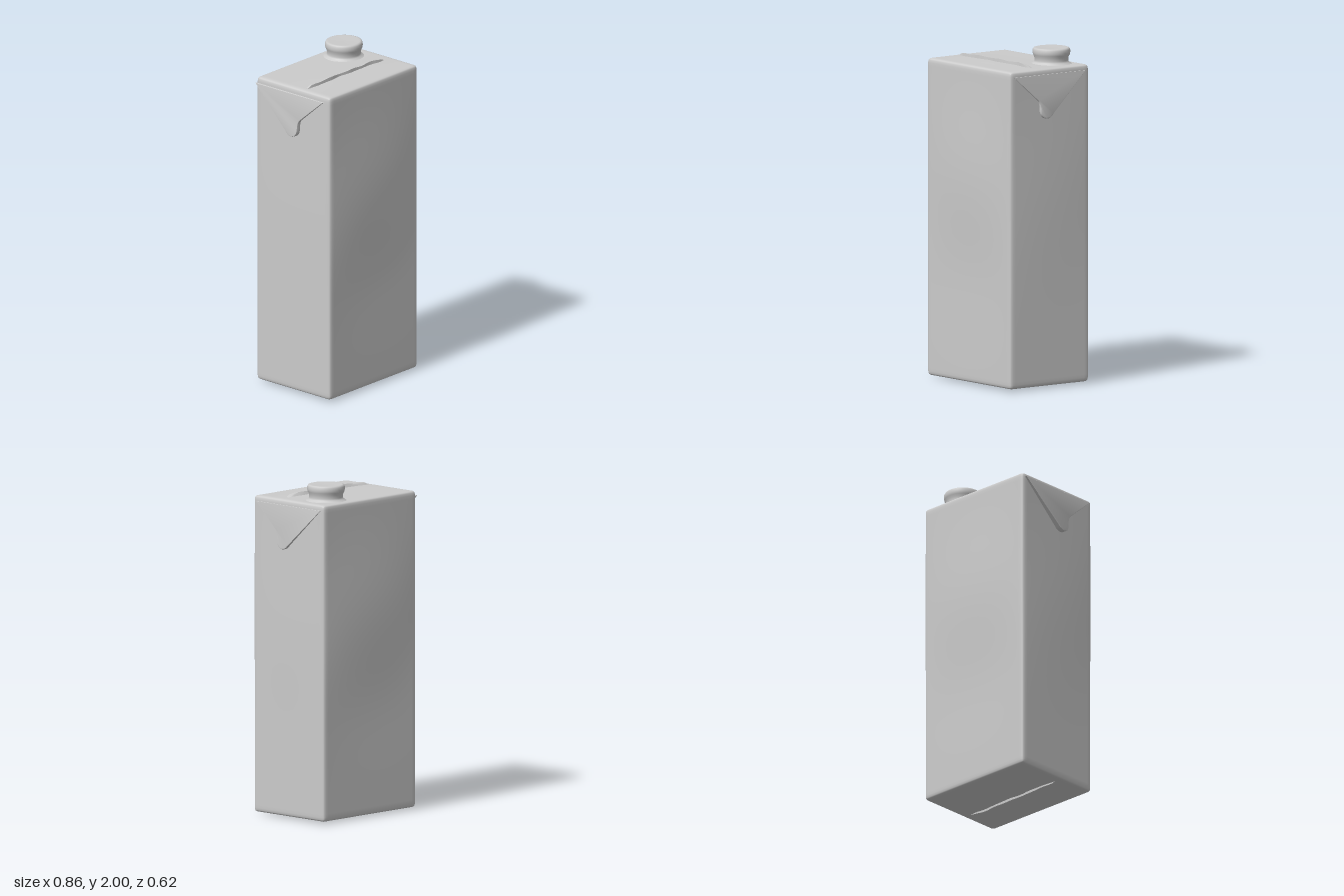
import * as THREE from 'three';
import { mergeVertices, toCreasedNormals } from 'three/addons/utils/BufferGeometryUtils.js';

const material = new THREE.MeshStandardMaterial({ color: 0xcccccc });
const HALF = new THREE.Vector3(0.397, 0.947, 0.293);
const CENTRE = new THREE.Vector3(0.012, 0.957, 0);

function part(name, geometry, parent) {
  const mesh = new THREE.Mesh(geometry, material);
  mesh.name = name;
  parent.add(mesh);
  return mesh;
}

const bump = (v, centre, width) => Math.exp(-(((v - centre) / width) ** 2));

// Rounded carton whose walls bulge above the middle and pinch slightly below it
function cartonGeometry() {
  const radius = 0.022;
  let geo = new THREE.BoxGeometry(2, 2, 2, 28, 40, 24);
  geo.deleteAttribute('normal');
  geo.deleteAttribute('uv');
  geo = mergeVertices(geo);
  const pos = geo.attributes.position;
  const p = new THREE.Vector3();
  const inner = HALF.clone().subScalar(radius);
  for (let i = 0; i < pos.count; i++) {
    p.fromBufferAttribute(pos, i);
    // crowd the grid towards the edges, then round them
    for (const a of ['x', 'y', 'z']) p[a] = Math.sin(p[a] * Math.PI / 2) * HALF[a];
    const core = p.clone().clamp(inner.clone().negate(), inner);
    const out = p.clone().sub(core);
    if (out.lengthSq() > 0) p.copy(core).add(out.setLength(radius));
    const u = p.x / HALF.x, v = p.y / HALF.y, w = p.z / HALF.z;
    const y = p.y + CENTRE.y;
    const swell = 0.017 * bump(y, 1.25, 0.4) - 0.005 * bump(y, 0.65, 0.3);
    p.z += w * swell * (1 - u * u) - 0.008 * u;
    p.x += u * (0.008 * bump(y, 1.15, 0.5)) * (1 - w * w);
    // soft panels: the top rises gently to the seam, the base sinks in a little
    const flat = (1 - u * u) * (1 - w * w);
    if (v > 0) p.y += 0.006 * flat * v ** 6 * bump(p.z, 0.08, 0.15);
    else p.y += 0.004 * flat * v ** 6;
    pos.setXYZ(i, p.x + CENTRE.x, p.y + CENTRE.y, p.z + CENTRE.z);
  }
  geo.computeVertexNormals();
  return geo;
}

// Low fin running across the carton, tapering at both ends
function seamGeometry(length, width, height) {
  const geo = new THREE.BoxGeometry(1, 1, 1, 24, 3, 4);
  const pos = geo.attributes.position;
  for (let i = 0; i < pos.count; i++) {
    const x = pos.getX(i), t = pos.getY(i) + 0.5;
    const end = Math.sqrt(Math.max(0, 1 - (2 * x) ** 6));
    const wave = 0.003 * Math.sin(x * 17) + 0.002 * Math.sin(x * 31 + 1);
    const lean = 0.008 * t;
    pos.setXYZ(i, x * length,
      t * height * (0.25 + 0.75 * end) * (1 + 0.1 * Math.sin(x * 23)),
      pos.getZ(i) * width * (1 - 0.65 * t) + wave + lean);
  }
  return toCreasedNormals(geo, 0.9);
}

// Folded triangular ear, thickening towards its rounded tip
function earGeometry(side) {
  const s = -side;
  const shape = new THREE.Shape();
  shape.moveTo(s * 0.26, 1.872);
  shape.lineTo(s * 0.085, 1.72);
  shape.quadraticCurveTo(s * 0.07, 1.70, s * 0.07, 1.655);
  shape.quadraticCurveTo(s * 0.065, 1.612, s * 0.025, 1.61);
  shape.quadraticCurveTo(s * 0.0, 1.61, s * -0.02, 1.635);
  shape.lineTo(s * -0.275, 1.872);
  shape.closePath();
  const geo = new THREE.ExtrudeGeometry(shape, {
    depth: 1, bevelEnabled: true, bevelThickness: 0.2, bevelSize: 0.006,
    bevelOffset: -0.006, bevelSegments: 2, curveSegments: 6,
  });
  const pos = geo.attributes.position;
  for (let i = 0; i < pos.count; i++) {
    const drop = THREE.MathUtils.clamp((1.88 - pos.getY(i)) / 0.27, 0, 1);
    pos.setZ(i, pos.getZ(i) * (0.008 + 0.018 * drop));
  }
  geo.rotateY(side * Math.PI / 2);
  return toCreasedNormals(geo, 0.6);
}

export function createModel() {
  const model = new THREE.Group();
  model.name = 'drinkCarton';

  part('cartonBody', cartonGeometry(), model);

  // Seams across the top and the base
  const topSeam = part('topSeam', seamGeometry(0.68, 0.034, 0.026), model);
  topSeam.position.set(-0.005, 1.9, 0.075);
  topSeam.rotation.y = 0.022;
  const baseSeam = part('baseSeam', seamGeometry(0.7, 0.026, 0.017), model);
  baseSeam.rotation.x = Math.PI;
  baseSeam.position.set(0.012, 0.017, 0.05);

  // Ears folded down on both narrow sides
  for (const [side, name] of [[1, 'leftEar'], [-1, 'rightEar']]) {
    const ear = part(name, earGeometry(side), model);
    ear.position.x = side > 0 ? 0.402 : -0.394;
  }

  // Screw cap with a flared foot and a rounded, slightly dished lid
  const profile = [
    [0.135, 1.895], [0.118, 1.906], [0.103, 1.914], [0.1, 1.925], [0.102, 1.945],
    [0.109, 1.958], [0.112, 1.972], [0.111, 1.988], [0.106, 1.997], [0.097, 2.0],
    [0.085, 1.998], [0, 1.997],
  ].map(([r, y]) => new THREE.Vector2(r, y));
  const cap = part('screwCap', new THREE.LatheGeometry(profile, 40), model);
  cap.position.set(0.238, 0, -0.15);

  return model;
}
